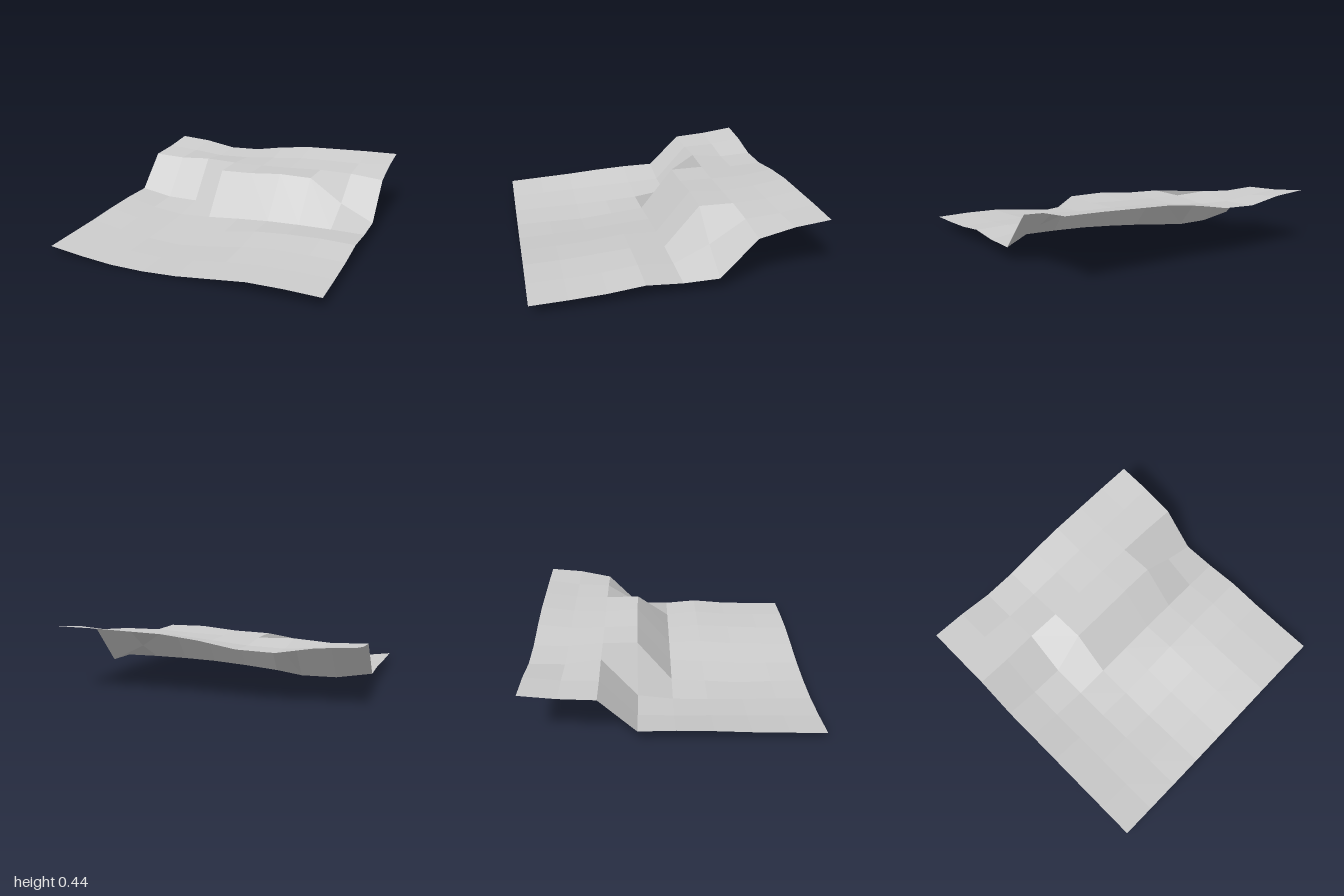
import * as THREE from 'three';

const STEP = 0.25, CELLS = 8;

// Ground heights in hundredths: one row per z from back to front, x from -1 to 1
const HEIGHTS = [
  [39, 37.5, 33.5, 34.5, 39, 42, 43, 44, 44.5],
  [36, 34.5, 32.5, 33.5, 36, 38.5, 39.5, 40, 42],
  [34.5, 34, 36, 35.5, 36, 37, 38.5, 38.5, 36.5],
  [10, 6, 6, 35.5, 36.5, 39, 39, 22, 10],
  [10, 5, 2.5, 4, 6.5, 8.5, 9.5, 10, 10],
  [9, 4.5, 1.5, 2, 5, 9.5, 11.5, 12.5, 12],
  [7.5, 3.5, 1, 0, 3, 7, 10, 10, 9.5],
  [6.5, 3, 1, 0.5, 2.5, 6, 8.5, 9, 8.5],
  [5.5, 2.5, 0.5, 0.5, 2, 5, 8, 8.5, 8],
];

const point = (i, j) => new THREE.Vector3(-1 + i * STEP, HEIGHTS[j][i] / 100, -1 + j * STEP);

// The stepped bank between the two levels
const isBank = (i, j) => (j === 2 && (i < 3 || i > 5)) || (j === 3 && i > 1);
const isUpper = (i, j) => !isBank(i, j) && (j < 2 || (j === 2 && i > 2 && i < 6));
const isLower = (i, j) => !isBank(i, j) && !isUpper(i, j);

// Builds the chosen grid cells as facets, each with one normal for its four corners
function buildCells(name, chosen, material) {
  const positions = [], normals = [], index = [];
  for (let j = 0; j < CELLS; j++) {
    for (let i = 0; i < CELLS; i++) {
      if (!chosen(i, j)) continue;
      const corners = [point(i, j), point(i, j + 1), point(i + 1, j + 1), point(i + 1, j)];
      const normal = corners[2].clone().sub(corners[0])
        .cross(corners[3].clone().sub(corners[1])).normalize();
      const base = positions.length / 3;
      for (const c of corners) {
        positions.push(c.x, c.y, c.z);
        normals.push(normal.x, normal.y, normal.z);
      }
      index.push(base, base + 1, base + 2, base, base + 2, base + 3);
    }
  }
  const geometry = new THREE.BufferGeometry();
  geometry.setAttribute('position', new THREE.Float32BufferAttribute(positions, 3));
  geometry.setAttribute('normal', new THREE.Float32BufferAttribute(normals, 3));
  geometry.setIndex(index);
  const mesh = new THREE.Mesh(geometry, material);
  mesh.name = name;
  return mesh;
}

export function createModel() {
  const group = new THREE.Group();
  group.name = 'terrainTile';
  const ground = new THREE.MeshStandardMaterial({ color: 0xcccccc, side: THREE.DoubleSide });
  ground.name = 'light grey';

  group.add(
    buildCells('upperGround', isUpper, ground),
    buildCells('bank', isBank, ground),
    buildCells('lowerGround', isLower, ground),
  );
  return group;
}
